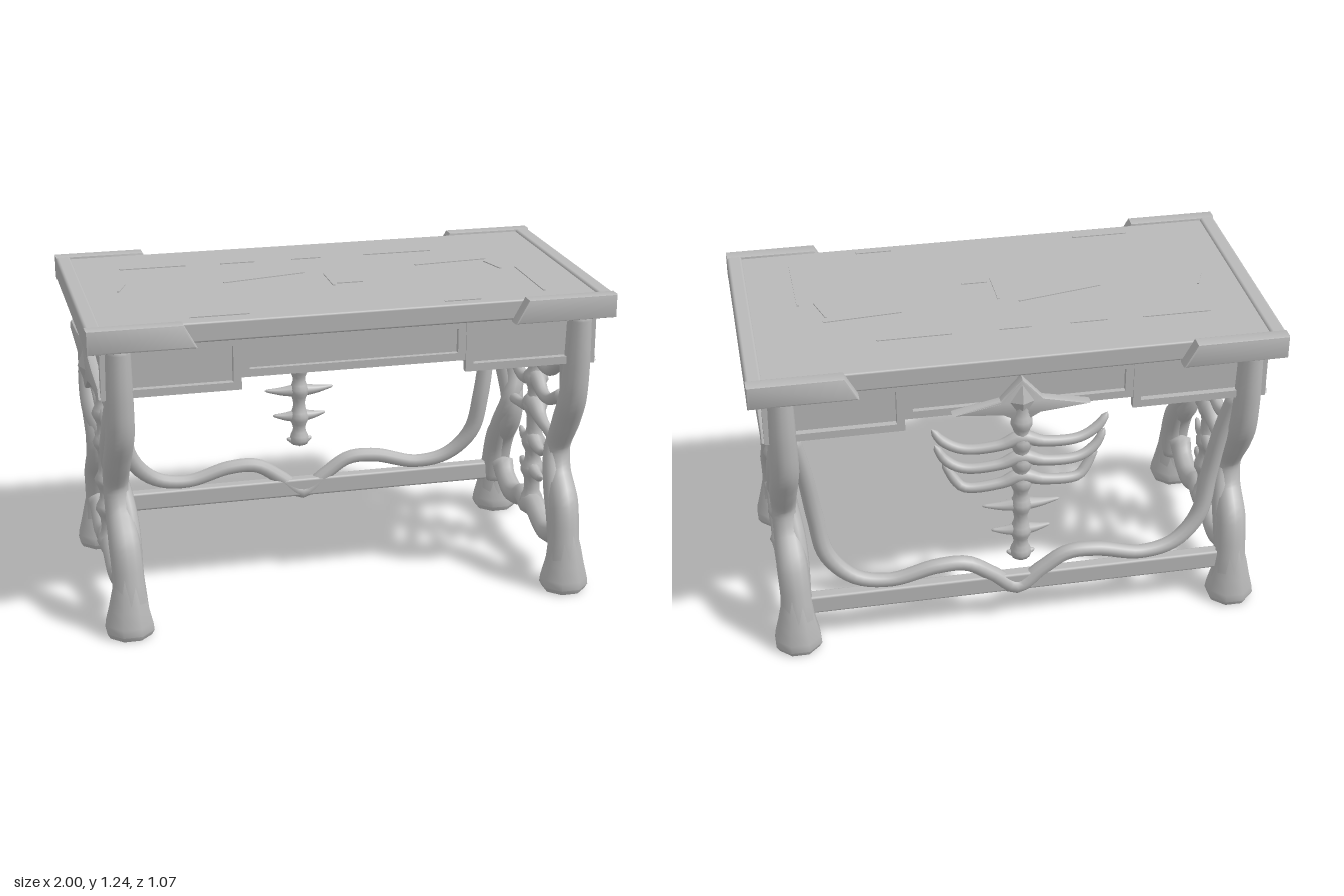
import * as THREE from 'three';
import { mergeVertices, toCreasedNormals } from 'three/addons/utils/BufferGeometryUtils.js';
import { RoundedBoxGeometry } from 'three/addons/geometries/RoundedBoxGeometry.js';

const stone = new THREE.MeshStandardMaterial({ color: 0xb8b8b8 });
stone.name = 'bone grey';

// tube through [x, y, z, radius] points with varying thickness and closed ends
function limb(pts, segs = 36, sides = 10) {
  const curve = new THREE.CatmullRomCurve3(pts.map(p => new THREE.Vector3(p[0], p[1], p[2])), false, 'centripetal');
  const geo = new THREE.TubeGeometry(curve, segs, 1, sides);
  const pos = geo.attributes.position;
  const v = new THREE.Vector3();
  for (let i = 0; i <= segs; i++) {
    const u = i / segs, c = curve.getPointAt(u);
    const t = curve.getUtoTmapping(u) * (pts.length - 1);
    const k = Math.min(Math.floor(t), pts.length - 2);
    let r = THREE.MathUtils.lerp(pts[k][3], pts[k + 1][3], t - k);
    if (i === 0 || i === segs) r = 0.0005;
    for (let j = 0; j <= sides; j++) {
      const n = i * (sides + 1) + j;
      v.fromBufferAttribute(pos, n).sub(c).multiplyScalar(r).add(c);
      pos.setXYZ(n, v.x, v.y, v.z);
    }
  }
  geo.deleteAttribute('uv');
  geo.deleteAttribute('normal');
  const merged = mergeVertices(geo, 1e-6);
  merged.computeVertexNormals();
  return merged;
}

const polygon = pts => new THREE.Shape(pts.map(p => new THREE.Vector2(p[0], p[1])));
const mirrored = half => [...half, ...half.filter(p => p[0] > 0).reverse().map(p => [-p[0], ...p.slice(1)])];

function extrude(shape, depth, bevel = 0) {
  const geo = new THREE.ExtrudeGeometry(shape, {
    depth: depth - 2 * bevel, bevelEnabled: bevel > 0, bevelSize: bevel,
    bevelThickness: bevel, bevelOffset: -bevel, bevelSegments: 2,
  });
  return toCreasedNormals(geo.translate(0, 0, bevel), 0.6);
}

// knobbly column of vertebrae
function vertebrae(y0, y1, joints, r) {
  const prof = [[0.001, y0]];
  for (let i = 0; i <= 40; i++) {
    const y = y0 + (y1 - y0) * i / 40;
    const bulge = Math.max(...joints.map(j => Math.exp(-(((y - j) / 0.028) ** 2))));
    prof.push([r * (0.8 + 0.5 * bulge), y]);
  }
  prof.push([0.001, y1]);
  return new THREE.LatheGeometry(prof.map(p => new THREE.Vector2(p[0], p[1])), 12);
}

export function createModel() {
  const model = new THREE.Group();
  model.name = 'desk';
  const add = (name, geo, x = 0, y = 0, z = 0, ry = 0, parent = model) => {
    const m = new THREE.Mesh(geo, stone);
    m.name = name;
    m.position.set(x, y, z);
    m.rotation.y = ry;
    parent.add(m);
    return m;
  };

  // table top, end rims and corner caps
  add('tableTop', new RoundedBoxGeometry(1.94, 0.077, 0.968, 2, 0.008), 0, 1.191, 0);
  for (const s of [1, -1]) {
    add('endRim', new RoundedBoxGeometry(0.06, 0.09, 1.06, 2, 0.012), s * 0.97, 1.193, 0);
    const cap = polygon(s > 0
      ? [[0.6, 1.148], [1, 1.148], [1, 1.239], [0.65, 1.239]]
      : [[-1, 1.148], [-0.6, 1.148], [-0.65, 1.239], [-1, 1.239]]);
    add('frontCornerCap', extrude(cap, 0.059, 0.008), 0, 0, 0.476);
    add('backCornerCap', extrude(cap, 0.059, 0.008), 0, 0, -0.535);
  }
  // chips and ridges worn into the surface: x, z, length, angle
  for (const [x, z, l, a] of [[-0.64, -0.27, 0.26, 0], [-0.3, -0.265, 0.14, 0], [-0.02, -0.265, 0.12, 0],
    [0.36, -0.265, 0.28, 0], [-0.24, -0.03, 0.34, 0.2], [0, 0.05, 0.17, 1.57], [0.07, 0.11, 0.1, 0],
    [0.53, -0.08, 0.3, 0.08], [0.68, 0, 0.12, -1.3], [-0.8, -0.01, 0.1, 1.2], [0.76, 0.22, 0.34, 1.57],
    [-0.5, 0.42, 0.22, 0], [0.42, 0.44, 0.14, 0]]) {
    add('surfaceChip', new THREE.BoxGeometry(l, 0.006, 0.009), x, 1.23, z, a);
  }

  // drawer body with raised centre section
  const body = mirrored([[0, 1], [0.42, 1], [0.455, 0.96], [0.925, 0.96], [0.925, 1.16], [0, 1.16]]);
  add('drawerBody', extrude(polygon(body), 0.88), 0, 0, -0.44);

  // raised frames around the drawer fronts, front and back
  const frame = (x0, x1, y0, y1, inset) => {
    const rect = (d) => [[x0 + d, y0 + d], [x1 - d, y0 + d], [x1 - d, y1 - d], [x0 + d, y1 - d]];
    const shape = polygon(rect(0));
    shape.holes.push(polygon(rect(inset).reverse()));
    return shape;
  };
  for (const z of [0.435, -0.46]) {
    add('centreDrawerFrame', extrude(frame(-0.43, 0.43, 1, 1.155, 0.03), 0.025), 0, 0, z);
    for (const s of [1, -1]) {
      const [a, b] = s > 0 ? [0.43, 0.9] : [-0.9, -0.43];
      add('sideDrawerFrame', extrude(frame(a, b, 0.955, 1.155, 0.03), 0.03), 0, 0, z < 0 ? z - 0.005 : z);
    }
  }

  // end panels with winged emblem
  const wings = polygon(mirrored([[0, 0.845], [0.1, 0.905], [0.2, 0.925], [0.455, 0.952], [0.43, 0.99],
    [0.25, 1.0], [0.09, 1.025], [0, 1.1]]));
  wings.holes.push(polygon([[-0.022, 1.038], [0, 1.07], [0.022, 1.038]]));
  for (const s of [1, -1]) {
    const end = new THREE.Group();
    end.name = 'endPanel';
    end.rotation.y = s * Math.PI / 2;
    model.add(end);
    add('endFrame', extrude(frame(-0.46, 0.46, 0.95, 1.155, 0.035), 0.03), 0, 0, 0.917, 0, end);
    add('emblemWings', extrude(wings, 0.04, 0.008), 0, 0, 0.918, 0, end);
    const gem = new THREE.ConeGeometry(1, 1, 4).toNonIndexed();
    gem.rotateX(Math.PI / 2).scale(0.085, 0.085, 0.03);
    gem.computeVertexNormals();
    add('emblemBoss', gem, 0, 0.94, 0.965, 0, end);
  }

  // legs: two entwined strands and a hoof
  for (const sx of [1, -1]) for (const sz of [1, -1]) {
    const leg = new THREE.Group();
    leg.name = sz > 0 ? 'frontLeg' : 'backLeg';
    model.add(leg);
    const at = pts => pts.map(([x, y, z, r]) => [sx * x, y, sz * z, r]);
    add('outerStrand', limb(at([[0.88, 1.18, 0.458, 0.046], [0.88, 0.95, 0.45, 0.052], [0.88, 0.8, 0.425, 0.055],
      [0.885, 0.68, 0.355, 0.055], [0.885, 0.55, 0.283, 0.048], [0.88, 0.45, 0.305, 0.052],
      [0.875, 0.35, 0.39, 0.06], [0.87, 0.22, 0.428, 0.06], [0.87, 0.08, 0.435, 0.075], [0.87, 0.02, 0.435, 0.07]]), 48, 12),
    0, 0, 0, 0, leg);
    add('innerStrand', limb(at([[0.87, 1.02, 0.4, 0.045], [0.885, 0.9, 0.385, 0.046], [0.9, 0.78, 0.355, 0.045],
      [0.9, 0.65, 0.3, 0.042], [0.87, 0.55, 0.272, 0.038], [0.85, 0.42, 0.33, 0.04],
      [0.85, 0.28, 0.39, 0.042], [0.86, 0.12, 0.41, 0.045]]), 40), 0, 0, 0, 0, leg);
    const hoof = new THREE.LatheGeometry([[0.001, 0], [0.092, 0], [0.104, 0.02], [0.1, 0.05], [0.084, 0.11],
      [0.068, 0.18], [0.05, 0.24], [0.001, 0.25]].map(p => new THREE.Vector2(p[0], p[1])), 8, Math.PI / 8);
    hoof.scale(0.93, 1, 0.9);
    add('hoof', toCreasedNormals(hoof, 0.8), sx * 0.873, 0, sz * 0.438, 0, leg);
  }

  // rib cage and stretcher between the legs at each end
  for (const s of [1, -1]) {
    const cage = new THREE.Group();
    cage.name = 'endRibCage';
    model.add(cage);
    const put = (name, pts) => add(name, limb(pts.map(([z, y, r, x = 0.88]) => [s * x, y, z, r])), 0, 0, 0, 0, cage);
    add('endSpine', vertebrae(0.16, 0.93, [0.2, 0.34, 0.46, 0.62, 0.74, 0.86], 0.04), s * 0.885, 0, 0, 0, cage);
    put('upperRib', mirrored([[0, 0.86, 0.036], [0.1, 0.825, 0.026], [0.17, 0.83, 0.026], [0.25, 0.875, 0.027], [0.37, 0.945, 0.032]].reverse()));
    put('middleRib', mirrored([[0, 0.755, 0.036], [0.1, 0.705, 0.025], [0.17, 0.705, 0.024], [0.24, 0.735, 0.025], [0.33, 0.78, 0.03]].reverse()));
    put('lowerRib', mirrored([[0, 0.635, 0.045], [0.08, 0.595, 0.028], [0.16, 0.575, 0.02], [0.28, 0.565, 0.024]].reverse()));
    put('spur', mirrored([[0, 0.48, 0.036], [0.06, 0.46, 0.026], [0.11, 0.455, 0.018], [0.155, 0.475, 0.006]].reverse()));
    put('spur', mirrored([[0, 0.35, 0.034], [0.06, 0.338, 0.022], [0.1, 0.338, 0.018], [0.125, 0.35, 0.008]].reverse()));
    put('endStretcher', mirrored([[0, 0.185, 0.05], [0.07, 0.195, 0.046], [0.14, 0.165, 0.044], [0.22, 0.15, 0.044],
      [0.32, 0.185, 0.042], [0.38, 0.25, 0.05]].reverse()));
  }

  // back stretcher bar and the curling vine above it
  add('backBar', new RoundedBoxGeometry(1.66, 0.078, 0.05, 2, 0.01), 0, 0.18, -0.42);
  add('backVine', limb(mirrored([[0, 0.155, -0.425, 0.034], [0.1, 0.225, -0.425, 0.03], [0.2, 0.288, -0.425, 0.03],
    [0.32, 0.29, -0.425, 0.03], [0.5, 0.247, -0.42, 0.028], [0.64, 0.275, -0.41, 0.03], [0.74, 0.38, -0.39, 0.034],
    [0.775, 0.55, -0.375, 0.034], [0.805, 0.75, -0.39, 0.032], [0.85, 0.96, -0.42, 0.03]].reverse()), 100));

  // hanging rib cage at the back
  const hanging = new THREE.Group();
  hanging.name = 'backRibCage';
  model.add(hanging);
  add('backSpine', vertebrae(0.35, 1.06, [0.37, 0.47, 0.59, 0.69, 0.78, 0.87, 0.96], 0.033), 0, 0, -0.49, 0, hanging);
  const rib = (name, half) => add(name, limb(mirrored(half.reverse())), 0, 0, 0, 0, hanging);
  for (const [y, w, tip] of [[0.87, 0.335, 0.95], [0.785, 0.325, 0.88], [0.7, 0.295, 0.8]]) {
    rib('backRib', [[0, y + 0.025, -0.495, 0.03], [0.08, y, -0.497, 0.022], [0.22, y - 0.005, -0.49, 0.02],
      [w - 0.04, y + 0.03, -0.477, 0.02], [w, tip, -0.465, 0.012]]);
  }
  for (const [y, w] of [[0.59, 0.15], [0.475, 0.115], [0.365, 0.055]]) {
    rib('backSpur', [[0, y, -0.49, 0.03], [w * 0.5, y, -0.49, 0.018], [w, y + 0.008, -0.49, 0.005]]);
  }
  const crest = polygon(mirrored([[0, 0.96], [0.07, 1.0], [0.26, 1.02], [0.08, 1.06], [0, 1.15]]));
  add('backCrest', extrude(crest, 0.045, 0.008), 0, 0, -0.505, 0, hanging);
  const crestBoss = new THREE.ConeGeometry(1, 1, 4).toNonIndexed();
  crestBoss.rotateX(-Math.PI / 2).scale(0.05, 0.08, 0.025);
  crestBoss.computeVertexNormals();
  add('crestBoss', crestBoss, 0, 1.055, -0.515, 0, hanging);
  return model;
}
